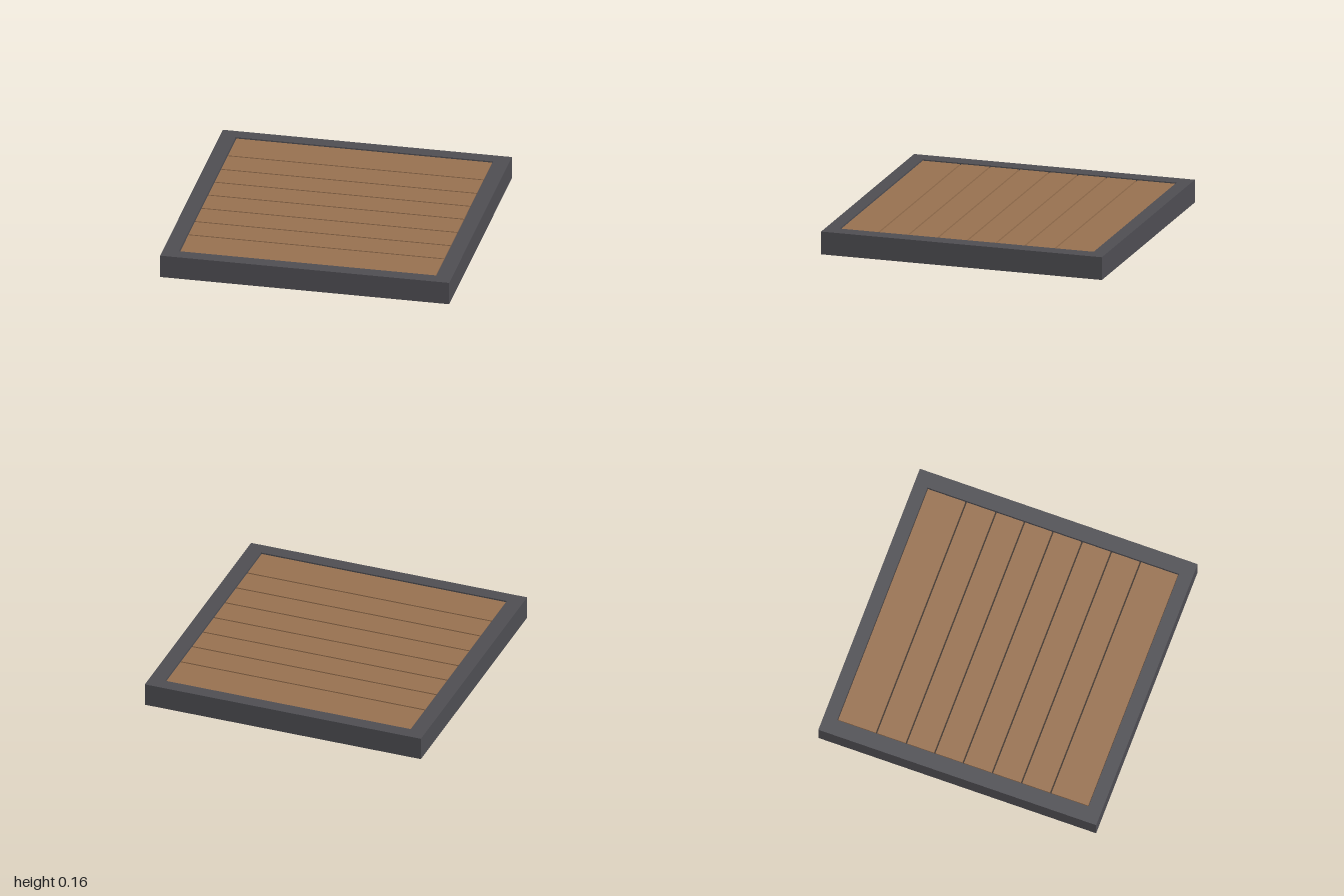
import * as THREE from 'three';

// Rectangle outline with optionally cut corners
function outline(PathType, hx, hy, cut = 0) {
  const points = [
    [hx - cut, -hy], [hx, -hy + cut], [hx, hy - cut], [hx - cut, hy],
    [-hx + cut, hy], [-hx, hy - cut], [-hx, -hy + cut], [-hx + cut, -hy],
  ].filter((p, i) => cut > 0 || i % 2 === 0);
  return new PathType(points.map(([x, y]) => new THREE.Vector2(x, y)));
}

// Extrude a flat outline upward from y0 to y1
function slab(name, shape, y0, y1, material) {
  const geometry = new THREE.ExtrudeGeometry(shape, { depth: y1 - y0, bevelEnabled: false });
  geometry.rotateX(-Math.PI / 2).translate(0, y0, 0);
  const mesh = new THREE.Mesh(geometry, material);
  mesh.name = name;
  return mesh;
}

function material(name, color) {
  const m = new THREE.MeshStandardMaterial({ color });
  m.name = name;
  return m;
}

export function createModel() {
  const model = new THREE.Group();
  model.name = 'plankPanel';

  const frameGrey = material('frame grey', 0x4e4d52);
  const plankBrown = material('plank brown', 0x97704f);
  const baseBrown = material('base brown', 0x6b5a50);
  const grooveDark = material('groove dark', 0x3a2e26);

  const height = 0.16, split = 0.125;
  const innerX = 0.89, innerZ = 0.905;

  // Frame: square opening above, cut-corner opening below
  const upper = outline(THREE.Shape, 1, 1);
  upper.holes.push(outline(THREE.Path, innerX, innerZ));
  const lower = outline(THREE.Shape, 1, 1);
  lower.holes.push(outline(THREE.Path, 0.88, 0.88, 0.05));
  model.add(slab('upperFrame', upper, split, height, frameGrey));
  model.add(slab('lowerFrame', lower, 0, split, frameGrey));

  // Underside board and the dark bed seen between planks
  model.add(slab('baseBoard', outline(THREE.Shape, 0.88, 0.88, 0.05), 0, split - 0.001, baseBrown));
  model.add(slab('grooveBed', outline(THREE.Shape, innerX, innerZ), split, split + 0.005, grooveDark));

  // Planks running left to right, from back to front
  const planks = new THREE.Group();
  planks.name = 'planks';
  const joints = [-innerZ, -0.625, -0.41, -0.205, 0, 0.21, 0.42, 0.63, innerZ];
  const gap = 0.012, bottom = split + 0.004, top = 0.154;
  for (let i = 0; i < joints.length - 1; i++) {
    const depth = joints[i + 1] - joints[i] - gap;
    const plank = new THREE.Mesh(
      new THREE.BoxGeometry(2 * innerX - gap, top - bottom, depth), plankBrown);
    plank.position.set(0, (top + bottom) / 2, (joints[i] + joints[i + 1]) / 2);
    plank.name = 'plank' + (i + 1);
    planks.add(plank);
  }
  model.add(planks);
  return model;
}
